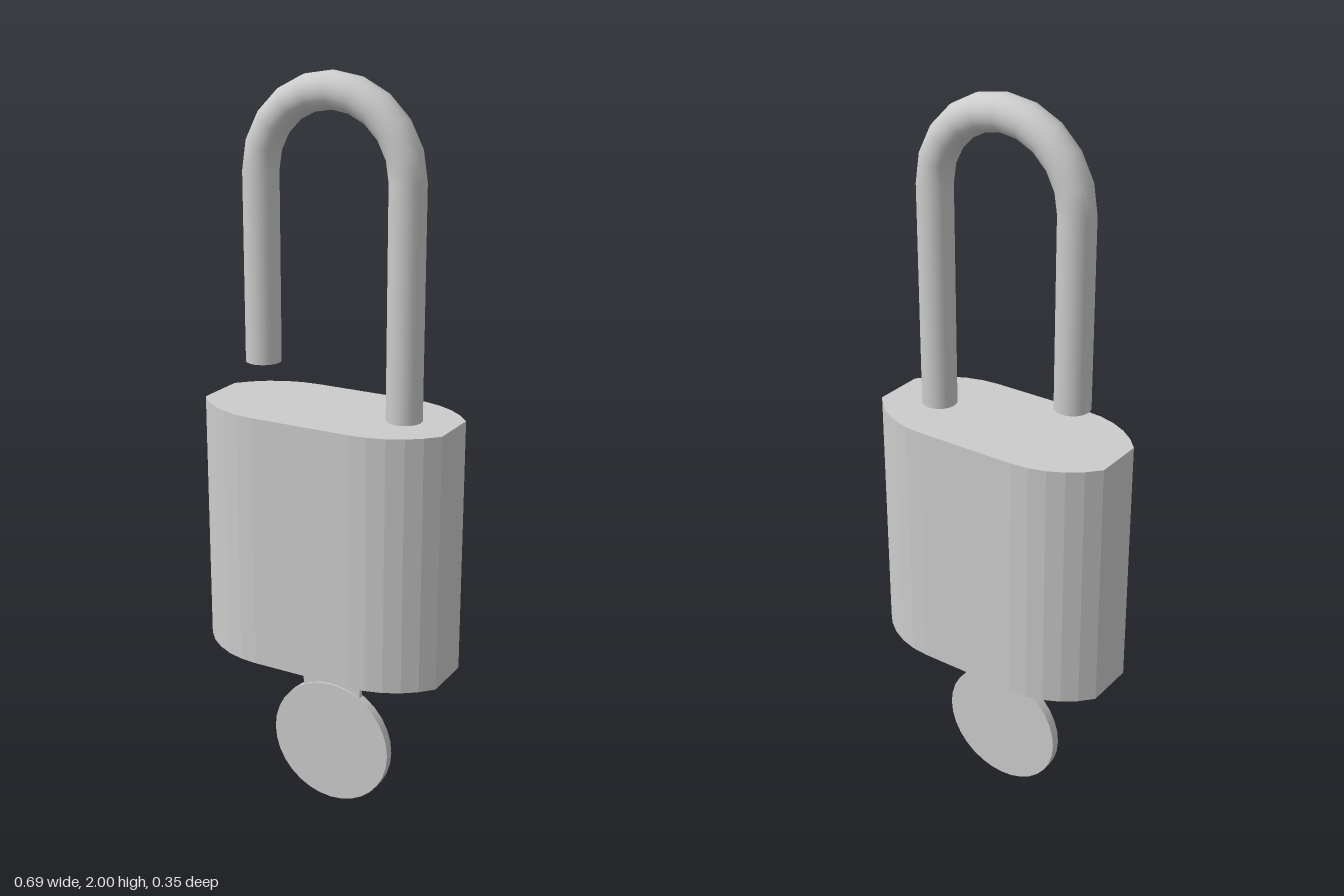
import * as THREE from 'three';

export function createModel() {
  const group = new THREE.Group();
  const material = new THREE.MeshStandardMaterial({ color: 0xcccccc });
  const add = (name, geometry, x = 0, y = 0, z = 0) => {
    const mesh = new THREE.Mesh(geometry, material);
    mesh.name = name;
    mesh.position.set(x, y, z);
    group.add(mesh);
    return mesh;
  };

  // Body: flat front and back, faceted round shoulders, cut-off ends
  const bodyBottom = 0.457, bodyTop = 1.149;
  const shoulder = [];
  const steps = 5, radius = 0.256, sweep = 0.928;
  for (let i = 0; i <= steps; i++) {
    const a = (sweep * i) / steps;
    shoulder.push([0.141 + radius * Math.sin(a), -0.083 + radius * Math.cos(a)]);
  }
  const back = [...shoulder].reverse();
  const outline = [
    ...shoulder.map(([x, z]) => new THREE.Vector2(x, z)),
    ...back.map(([x, z]) => new THREE.Vector2(x, -z)),
    ...shoulder.map(([x, z]) => new THREE.Vector2(-x, -z)),
    ...back.map(([x, z]) => new THREE.Vector2(-x, z)),
  ];
  const body = new THREE.ExtrudeGeometry(new THREE.Shape(outline), {
    depth: bodyTop - bodyBottom,
    bevelEnabled: false,
  });
  body.rotateX(-Math.PI / 2);
  add('body', body, 0, bodyBottom, 0);

  // Shackle: half-ring arch, one short free leg and one leg seated in the body
  const wire = 0.047, reach = 0.207, archY = 1.746;
  add('shackleArch', new THREE.TorusGeometry(reach, wire, 24, 10, Math.PI), 0, archY, 0);
  const addLeg = (name, x, bottom) => {
    const length = archY - bottom;
    add(name, new THREE.CylinderGeometry(wire, wire, length, 24), x, bottom + length / 2, 0);
  };
  addLeg('shackleFreeLeg', -reach, 1.249);
  addLeg('shackleFixedLeg', reach, bodyTop - 0.02);

  // Key: thin blade running up into the body, round flat head
  add('keyBlade', new THREE.BoxGeometry(0.176, 0.17, 0.015), 0, 0.395, 0);
  const head = new THREE.CylinderGeometry(0.178, 0.178, 0.026, 32);
  head.rotateX(Math.PI / 2);
  add('keyHead', head, 0, 0.178, 0);

  return group;
}
